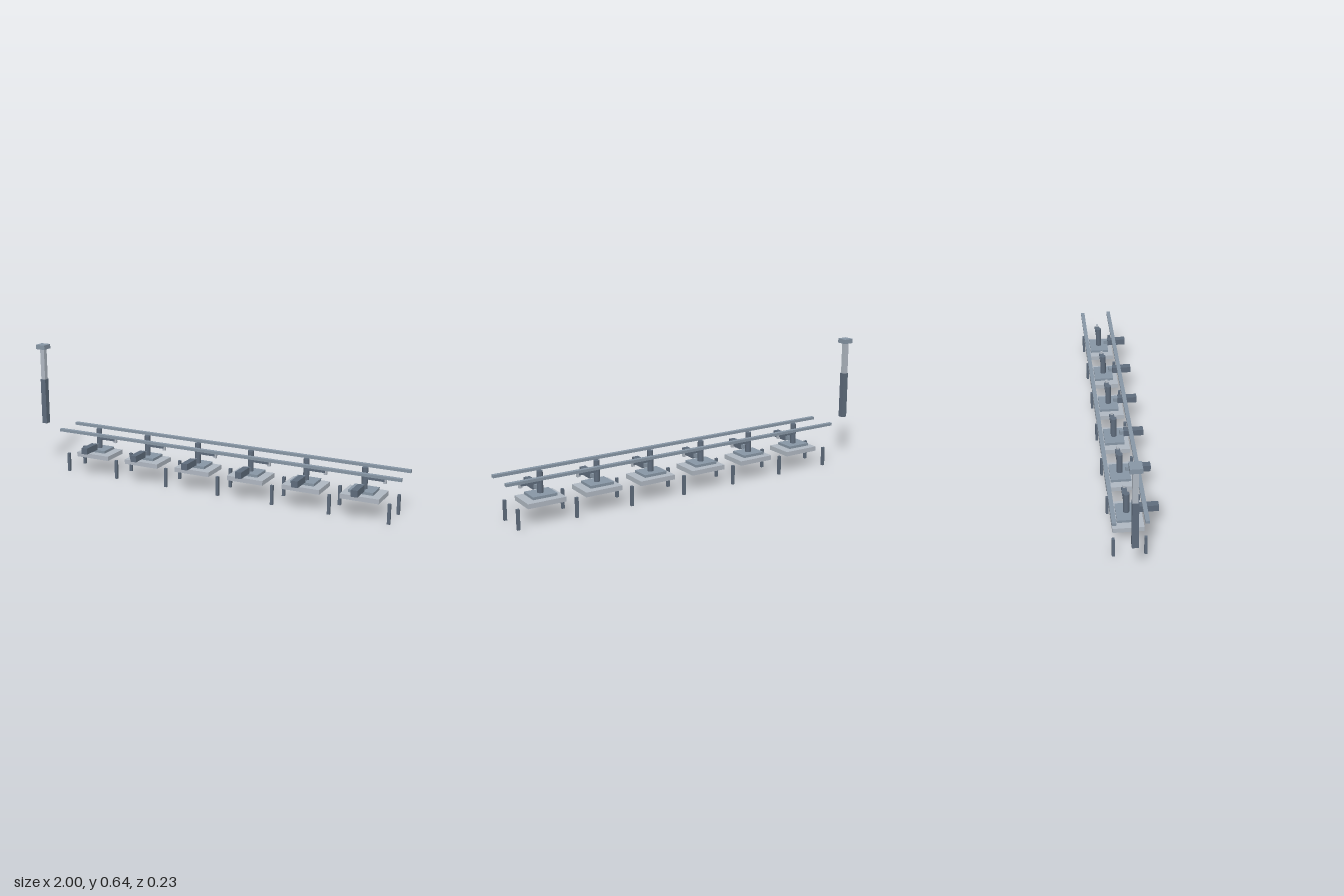
import * as THREE from 'three';

const darkSteel = new THREE.MeshStandardMaterial({ name: 'darkSteel', color: 0x5f6c7c });
const midSteel = new THREE.MeshStandardMaterial({ name: 'midSteel', color: 0x8796a5 });
const paleSteel = new THREE.MeshStandardMaterial({ name: 'paleSteel', color: 0xb0b8c2 });

const MID_Z = -0.03; // centre line of the conveyor
const PITCH = 0.2886; // spacing of stations and legs
const RAIL_Z = [0.042, -0.103];

// Box given by its size and centre
function box(parent, name, material, [w, h, d], [x, y, z]) {
  const mesh = new THREE.Mesh(new THREE.BoxGeometry(w, h, d), material);
  mesh.name = name;
  mesh.position.set(x, y, z);
  parent.add(mesh);
  return mesh;
}

// One work station: plates, post, side arm and motor
function createStation() {
  const station = new THREE.Group();
  station.name = 'station';
  box(station, 'platform', paleSteel, [0.188, 0.023, 0.143], [0, 0.0975, MID_Z]);
  box(station, 'upperPlate', midSteel, [0.12, 0.013, 0.096], [-0.002, 0.1205, MID_Z]);

  const post = new THREE.Mesh(new THREE.CylinderGeometry(0.0143, 0.0143, 0.12, 20), darkSteel);
  post.name = 'post';
  post.position.set(0, 0.169, MID_Z);
  station.add(post);

  box(station, 'arm', darkSteel, [0.092, 0.013, 0.024], [0.05, 0.1815, MID_Z - 0.001]);
  box(station, 'armTip', paleSteel, [0.015, 0.034, 0.012], [0.0965, 0.182, MID_Z]);

  box(station, 'motor', darkSteel, [0.032, 0.032, 0.097], [0, 0.145, 0.0665]);
  box(station, 'motorCoupling', midSteel, [0.021, 0.021, 0.02], [0, 0.1455, 0.008]);
  return station;
}

export function createModel() {
  const model = new THREE.Group();
  model.name = 'conveyorLine';

  // Long guide rails and rows of legs beneath them
  for (const z of RAIL_Z) {
    box(model, 'rail', midSteel, [1.829, 0.0135, 0.0195], [0.0855, 0.2175, z]);
    for (let i = 0; i < 7; i++) {
      box(model, 'leg', darkSteel, [0.014, 0.097, 0.013], [-0.783 + i * PITCH, 0.0485, z]);
    }
  }

  // Six identical stations
  for (let i = 0; i < 6; i++) {
    const station = createStation();
    station.position.x = -0.639 + i * PITCH;
    model.add(station);
  }

  // Signal mast at the end of the line
  const mast = new THREE.Group();
  mast.name = 'mast';
  mast.position.set(-0.9735, 0, MID_Z);
  box(mast, 'mastBase', darkSteel, [0.0285, 0.238, 0.0285], [0, 0.339, 0]);
  box(mast, 'mastPole', paleSteel, [0.024, 0.162, 0.024], [0, 0.539, -0.001]);
  box(mast, 'mastCap', midSteel, [0.053, 0.023, 0.053], [0, 0.6315, 0]);
  model.add(mast);

  return model;
}
